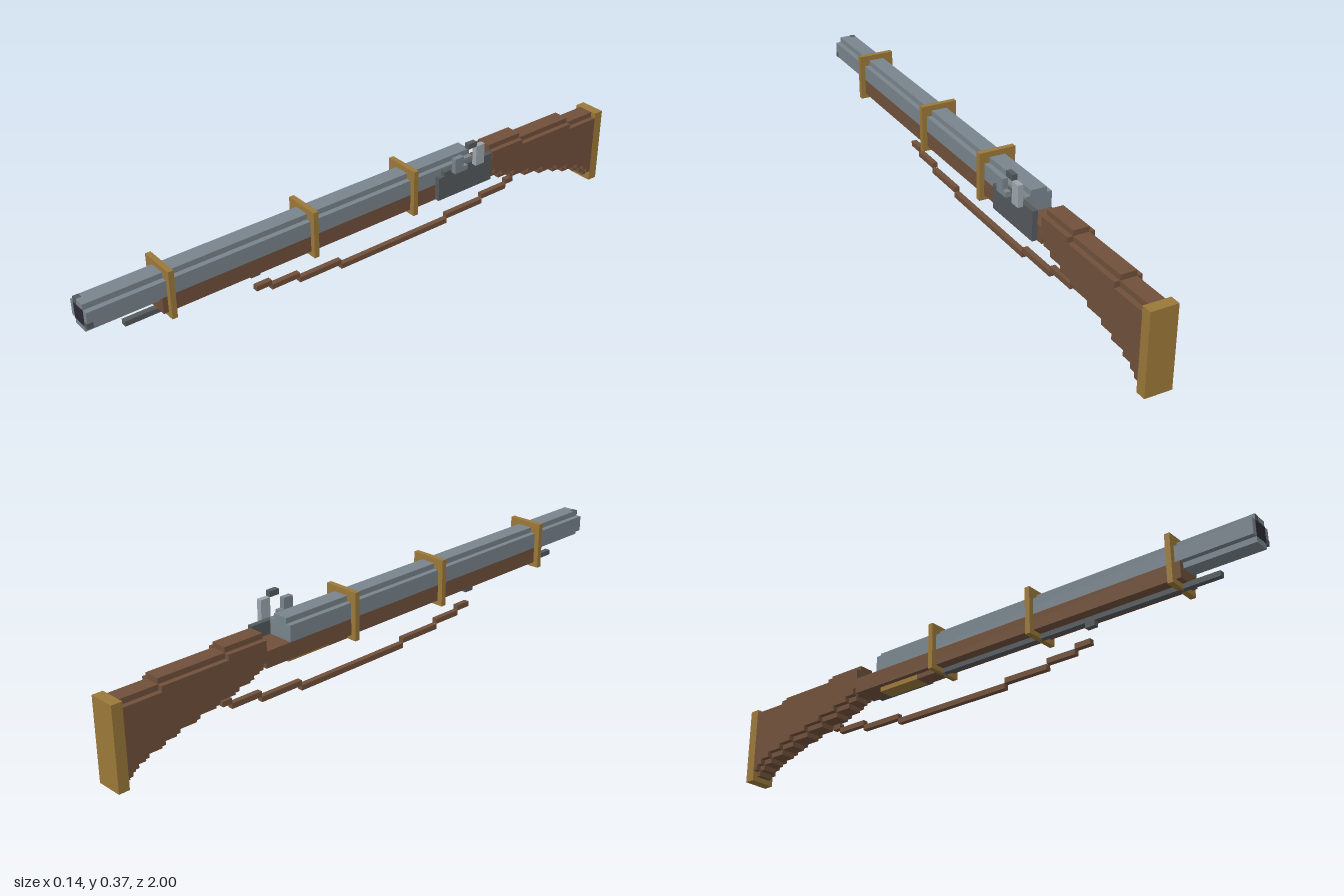
import * as THREE from 'three';

const mat = (name, color) => {
  const m = new THREE.MeshStandardMaterial({ color });
  m.name = name;
  return m;
};

export function createModel() {
  const model = new THREE.Group();
  model.name = 'musket';
  const steel = mat('steel', 0x78848c);
  const brightSteel = mat('bright steel', 0x9ca6ae);
  const iron = mat('dark iron', 0x54595d);
  const wood = mat('walnut', 0x70503a);
  const brass = mat('brass', 0x9a7839);
  const black = mat('bore black', 0x2b2a33);

  // Box given by its limits on each axis
  const box = (name, material, x0, x1, y0, y1, z0, z1, parent = model) => {
    const mesh = new THREE.Mesh(new THREE.BoxGeometry(x1 - x0, y1 - y0, Math.abs(z1 - z0)), material);
    mesh.position.set((x0 + x1) / 2, (y0 + y1) / 2, (z0 + z1) / 2);
    mesh.name = name;
    parent.add(mesh);
    return mesh;
  };
  const group = (name) => {
    const g = new THREE.Group();
    g.name = name;
    model.add(g);
    return g;
  };
  const U = 0.0175; // block size
  const X0 = -0.053, X1 = 0.035; // full body width
  const N0 = X0 + U, N1 = X1 - U; // narrow width
  const C0 = -0.018, C1 = 0; // centre column

  // Cross-shaped barrel with a dark bore
  const barrel = group('barrel');
  box('barrelCore', steel, N0, N1, 0.228, 0.316, 1, -0.385, barrel);
  box('barrelLeftSide', steel, N1, X1, 0.246, 0.298, 1, -0.385, barrel);
  box('barrelRightSide', steel, X0, N0, 0.246, 0.298, 1, -0.385, barrel);
  box('bore', black, N0, N1, 0.246, 0.298, 1.001, 0.996, barrel);
  box('muzzleMark', iron, N0, N0 + U, 0.298, 0.3165, 1.001, 1 - U, barrel);
  box('muzzleMark', iron, N1, X1 + 0.0005, 0.2455, 0.263, 1.001, 1 - U, barrel);

  // Fore-end below the barrel
  box('foreEnd', wood, X0, X1, 0.193, 0.246, 0.772, -0.478);

  // Stepped butt: [front z, rear z, bottom, top]
  const stock = group('buttStock');
  const ends = [-0.475, -0.49, -0.525, -0.58, -0.612, -0.65, -0.72, -0.79, -0.84, -0.895, -0.93, -0.95, -0.966];
  const levels = [11, 10, 9, 8, 8, 7, 6, 5, 4, 3, 2, 1];
  levels.forEach((level, i) => {
    const front = ends[i], rear = ends[i + 1];
    const bottom = level * 0.0176;
    const top = front > -0.61 ? 0.298 : front > -0.835 ? 0.281 : 0.263;
    box('stockCore', wood, N0, N1, bottom, top, front, rear, stock);
    box('stockSides', wood, X0, X1, bottom + U, top - U, front, rear, stock);
  });
  box('buttPlate', brass, X0, X1, 0, 0.264, -0.965, -1);

  // Barrel bands
  for (const z of [0.747, 0.254, -0.133])
    box('barrelBand', brass, -0.071, 0.052, 0.177, 0.334, z + U / 2, z - U / 2);

  // Ramrod, sling swivel and guard strip
  box('ramrod', iron, C0, C1, 0.177, 0.194, 0.875, -0.17);
  box('slingSwivel', iron, C0, C1, 0.16, 0.178, 0.458, 0.424);
  box('guardStrip', brass, N0, N1, 0.177, 0.1935, -0.22, -0.38);
  box('guardRoot', wood, N0, N1, 0.177, 0.1935, -0.14, -0.22);

  // Lock on the left side
  const lock = group('lock');
  box('lockPlate', iron, X1, 0.0525, 0.194, 0.275, -0.228, -0.455, lock);
  box('lockPlateTop', iron, X1, 0.0525, 0.275, 0.29, -0.25, -0.455, lock);
  box('frizzen', steel, 0.0525, 0.07, 0.281, 0.333, -0.28, -0.315, lock);
  box('frizzenFoot', steel, 0.0525, 0.07, 0.281, 0.298, -0.315, -0.333, lock);
  box('hammer', brightSteel, 0.0525, 0.07, 0.281, 0.351, -0.368, -0.403, lock);
  box('flint', iron, 0.0525, 0.07, 0.351, 0.369, -0.333, -0.368, lock);

  // Hanging sling in steps
  const sling = group('sling');
  [
    [0.44, 0.385, 0.106], [0.385, 0.282, 0.089], [0.282, 0.123, 0.071], [0.123, -0.314, 0.054],
    [-0.314, -0.47, 0.071], [-0.47, -0.58, 0.089], [-0.58, -0.613, 0.106],
  ].forEach(([a, b, y]) => box('slingSegment', wood, C0, C1, y, y + U, a, b, sling));

  return model;
}
